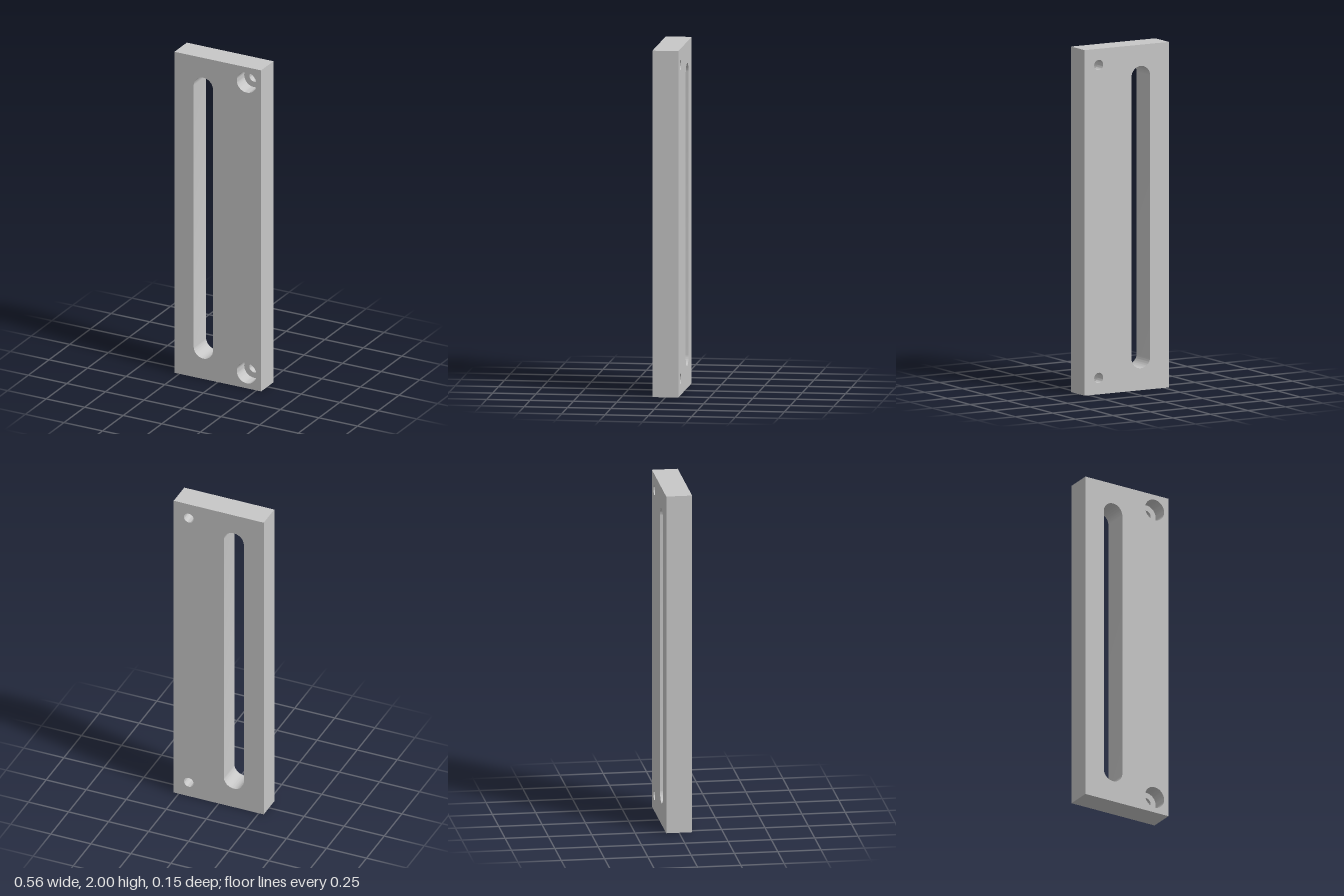
import * as THREE from 'three';
import { toCreasedNormals } from 'three/addons/utils/BufferGeometryUtils.js';

const HALF_W = 0.281, HEIGHT = 2, HALF_D = 0.0745;
const SLOT = { x: -0.094, r: 0.0625, bottom: 0.127, top: 1.877 };
const BOLT = { x: 0.187, ys: [0.095, 1.906], bore: 0.064, hole: 0.03, floor: -0.015 };

// Plate outline with the slot; flip mirrors it for the back face
function outline(flip = 1) {
  const shape = new THREE.Shape([
    new THREE.Vector2(-HALF_W, 0), new THREE.Vector2(HALF_W, 0),
    new THREE.Vector2(HALF_W, HEIGHT), new THREE.Vector2(-HALF_W, HEIGHT),
  ]);
  const slot = new THREE.Path(), x = SLOT.x * flip;
  slot.absarc(x, SLOT.top - SLOT.r, SLOT.r, 0, Math.PI, false);
  slot.absarc(x, SLOT.bottom + SLOT.r, SLOT.r, Math.PI, 2 * Math.PI, false);
  slot.closePath();
  shape.holes.push(slot);
  return shape;
}

// Flat plate face pierced by round bolt holes of the given radius
function face(radius, flip) {
  const shape = outline(flip);
  for (const y of BOLT.ys) {
    shape.holes.push(new THREE.Path().absarc(BOLT.x * flip, y, radius, 0, 2 * Math.PI, false));
  }
  return new THREE.ShapeGeometry(shape, 24);
}

// Outer edges and slot walls: the extrusion without its end caps
function walls() {
  const solid = new THREE.ExtrudeGeometry(outline(), {
    depth: 2 * HALF_D, bevelEnabled: false, curveSegments: 24,
  });
  const { start, count } = solid.groups[1];
  const geometry = new THREE.BufferGeometry();
  const positions = solid.attributes.position.array.slice(start * 3, (start + count) * 3);
  geometry.setAttribute('position', new THREE.BufferAttribute(positions, 3));
  return toCreasedNormals(geometry.translate(0, 0, -HALF_D), 0.5);
}

// Stepped bolt hole: wide bore at the front, ring floor, narrow hole to the back
function counterbore() {
  const profile = [
    [BOLT.bore, HALF_D], [BOLT.bore, BOLT.floor],
    [BOLT.hole, BOLT.floor], [BOLT.hole, -HALF_D],
  ].map(([r, y]) => new THREE.Vector2(r, y));
  return toCreasedNormals(new THREE.LatheGeometry(profile, 48).rotateX(Math.PI / 2), 0.5);
}

export function createModel() {
  const metal = new THREE.MeshStandardMaterial({ color: 0xc7c7c7 });
  metal.name = 'light grey metal';
  const group = new THREE.Group();
  group.name = 'slottedPlate';

  const add = (name, geometry) => {
    const mesh = new THREE.Mesh(geometry, metal);
    mesh.name = name;
    group.add(mesh);
    return mesh;
  };

  add('plateWalls', walls());
  add('frontFace', face(BOLT.bore, 1).translate(0, 0, HALF_D));
  add('backFace', face(BOLT.hole, -1).rotateY(Math.PI).translate(0, 0, -HALF_D));

  const bore = counterbore();
  BOLT.ys.forEach((y, i) => {
    add(i ? 'upperCounterbore' : 'lowerCounterbore', bore).position.set(BOLT.x, y, 0);
  });
  return group;
}
